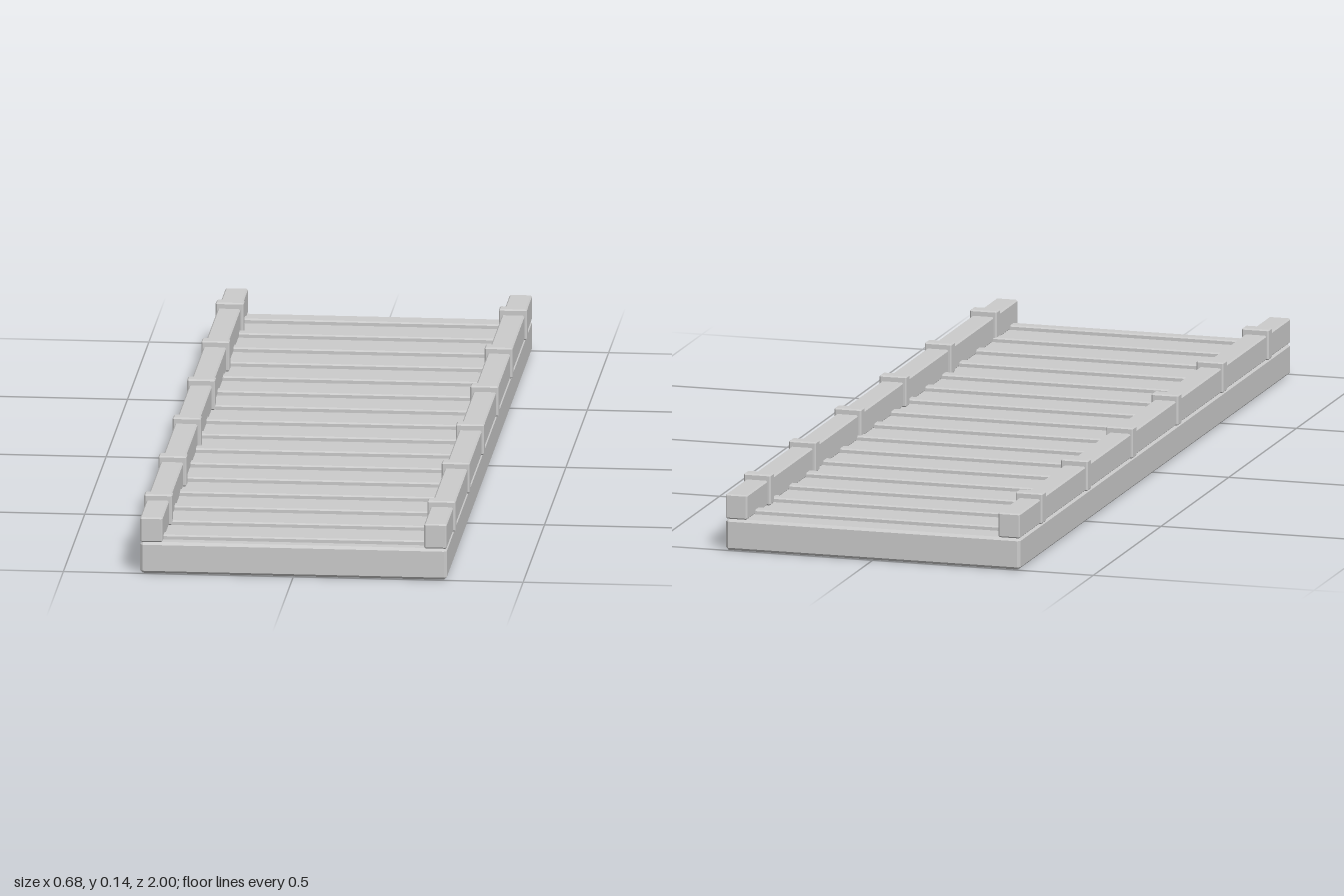
import * as THREE from 'three';
import { ConvexGeometry } from 'three/addons/geometries/ConvexGeometry.js';

// Box with flat chamfers of size c on every edge
function chamferBox(w, h, d, c) {
  const half = [w / 2, h / 2, d / 2];
  const points = [];
  for (const sx of [-1, 1]) for (const sy of [-1, 1]) for (const sz of [-1, 1]) {
    for (let full = 0; full < 3; full++) {
      const [x, y, z] = half.map((v, axis) => (axis === full ? v : v - c));
      points.push(new THREE.Vector3(sx * x, sy * y, sz * z));
    }
  }
  return new ConvexGeometry(points);
}

export function createModel() {
  const group = new THREE.Group();
  const material = new THREE.MeshStandardMaterial({ color: 0xcccccc, flatShading: true });

  const add = (name, geometry, x, y, z) => {
    const mesh = new THREE.Mesh(geometry, material);
    mesh.name = name;
    mesh.position.set(x, y, z);
    group.add(mesh);
  };

  // Deck slab
  const deckTop = 0.07;
  add('deck', chamferBox(0.667, deckTop, 2, 0.006), 0, deckTop / 2, 0);

  // Raised cross slats
  const slat = chamferBox(0.58, 0.02, 0.028, 0.003);
  for (let i = 0; i < 16; i++) {
    add('slat', slat, 0, deckTop, -0.925 + i * 0.1255);
  }

  // Side rails, each with six clamps wrapped around it
  const rail = chamferBox(0.049, 0.055, 2, 0.003);
  const clamp = chamferBox(0.061, 0.068, 0.03, 0.003);
  for (const side of [1, -1]) {
    const name = side > 0 ? 'left' : 'right';
    add(name + 'Rail', rail, side * 0.309, deckTop + 0.0275, 0);
    for (let i = 0; i < 6; i++) {
      add(name + 'Clamp', clamp, side * 0.308, deckTop + 0.034, (i - 2.5) * 0.334);
    }
  }

  return group;
}
